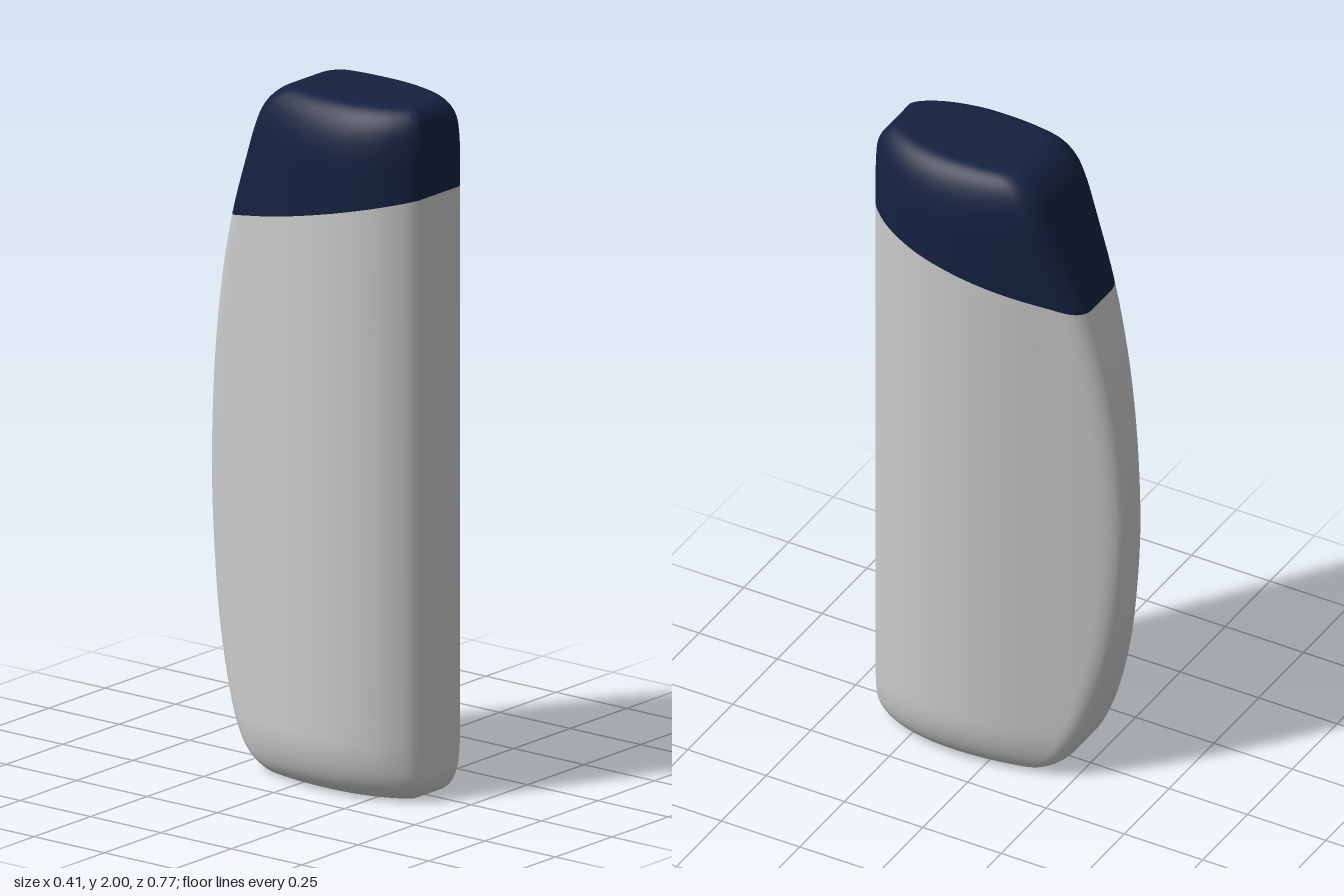
import * as THREE from 'three';

const HEIGHT = 2, FRONT = 0.385;

// Smooth function through a few [position, value] pairs
function smooth(pairs) {
  const f = new THREE.CubicInterpolant(pairs.map(p => p[0]), pairs.map(p => p[1]), 1, new Float32Array(1));
  return v => f.evaluate(v)[0];
}

// Half width seen from above, as a function of z
const halfWidth = smooth([[-0.4, 0.055], [-0.35, 0.078], [-0.28, 0.107], [-0.2, 0.136], [-0.1, 0.172],
  [0, 0.196], [0.1, 0.205], [0.2, 0.198], [0.3, 0.165], [0.35, 0.132], [0.375, 0.107], [0.385, 0.09]]);

// Curved back edge seen from the side, as a function of height
const backEdge = smooth([[0, -0.195], [0.1, -0.25], [0.2, -0.292], [0.4, -0.345], [0.6, -0.372], [0.8, -0.385],
  [1, -0.381], [1.2, -0.364], [1.4, -0.332], [1.6, -0.28], [1.8, -0.205], [2, -0.125]]);

// Quarter-round easing: 1 at the top and bottom faces, 0 beyond radius r
function rounding(y, r) {
  const u = Math.max(0, 1 - Math.max(0, Math.min(y, HEIGHT - y)) / r);
  return 1 - Math.sqrt(1 - u * u);
}

const CORNER = 10, SIDE = 30, HALF = CORNER + SIDE + 2, LOOP = HALF * 2;

// Point i of the horizontal section at height y, running back -> left -> front -> right
function sectionPoint(i, y) {
  const mirrored = i >= HALF;
  const k = mirrored ? LOOP - 1 - i : i;
  const b = backEdge(y) + 0.07 * rounding(y, 0.09);
  const front = FRONT - 0.055 * rounding(y, 0.08);
  const scale = 1 - 0.45 * rounding(y, 0.17);
  const start = b + 0.055;
  let x, z;
  if (k <= CORNER) {
    // flat back edge and its rounded corner
    const t = k / CORNER, w = halfWidth(b);
    x = (1 - t) ** 2 * 0.5 * w + 2 * t * (1 - t) * w + t * t * halfWidth(start);
    z = b + t * t * 0.055;
  } else {
    // bulging side up to the flat front
    const t = Math.sin(Math.min(1, (k - CORNER) / SIDE) * Math.PI / 2);
    x = halfWidth(start + (FRONT - start) * t);
    z = start + (front - start) * t;
    if (k === HALF - 1) x *= 0.5;
  }
  return [(mirrored ? -1 : 1) * x * scale, z];
}

// Height of the slanted seam in column i
function seamHeight(i) {
  let y = 1.65;
  for (let n = 0; n < 8; n++) y = 1.745 + 0.24 * (sectionPoint(i, y)[1] - FRONT);
  return y;
}

// Skin between the seam and one end face; rows: [fraction of height, shrink towards the centre]
function buildSkin(rows, heightAt) {
  const positions = [], index = [];
  const seams = Array.from({ length: LOOP }, (_, i) => seamHeight(i));
  rows.forEach(([t, s], j) => {
    for (let i = 0; i < LOOP; i++) {
      const y = heightAt(seams[i], t);
      const [x, z] = sectionPoint(i, y);
      positions.push(x * s, y, 0.13 + (z - 0.13) * s);
      if (j === rows.length - 1) continue;
      const a = j * LOOP + i, c = j * LOOP + (i + 1) % LOOP;
      index.push(a, a + LOOP, c, c, a + LOOP, c + LOOP);
    }
  });
  const geometry = new THREE.BufferGeometry();
  geometry.setAttribute('position', new THREE.Float32BufferAttribute(positions, 3));
  geometry.setIndex(index);
  geometry.computeVertexNormals();
  return geometry;
}

export function createModel() {
  const group = new THREE.Group();
  group.name = 'bottle';
  const add = (name, geometry, color) => {
    const mesh = new THREE.Mesh(geometry, new THREE.MeshStandardMaterial({ color, side: THREE.DoubleSide }));
    mesh.name = name;
    group.add(mesh);
  };
  const steps = n => Array.from({ length: n + 1 }, (_, j) => [j / n, 1]);

  // Body, closed at the base, rows crowded near the rounded bottom
  add('body', buildSkin([[0, 0], [0, 0.5], [0, 0.95], ...steps(48)],
    (seam, t) => seam * (1 - Math.cos(t * Math.PI / 2))), 0xcccccc);

  // Cap, closed on top, rows crowded near the rounded top
  add('cap', buildSkin([...steps(28), [1, 0.95], [1, 0.5], [1, 0]],
    (seam, t) => seam + (HEIGHT - seam) * Math.sin(t * Math.PI / 2)), 0x142140);

  return group;
}
